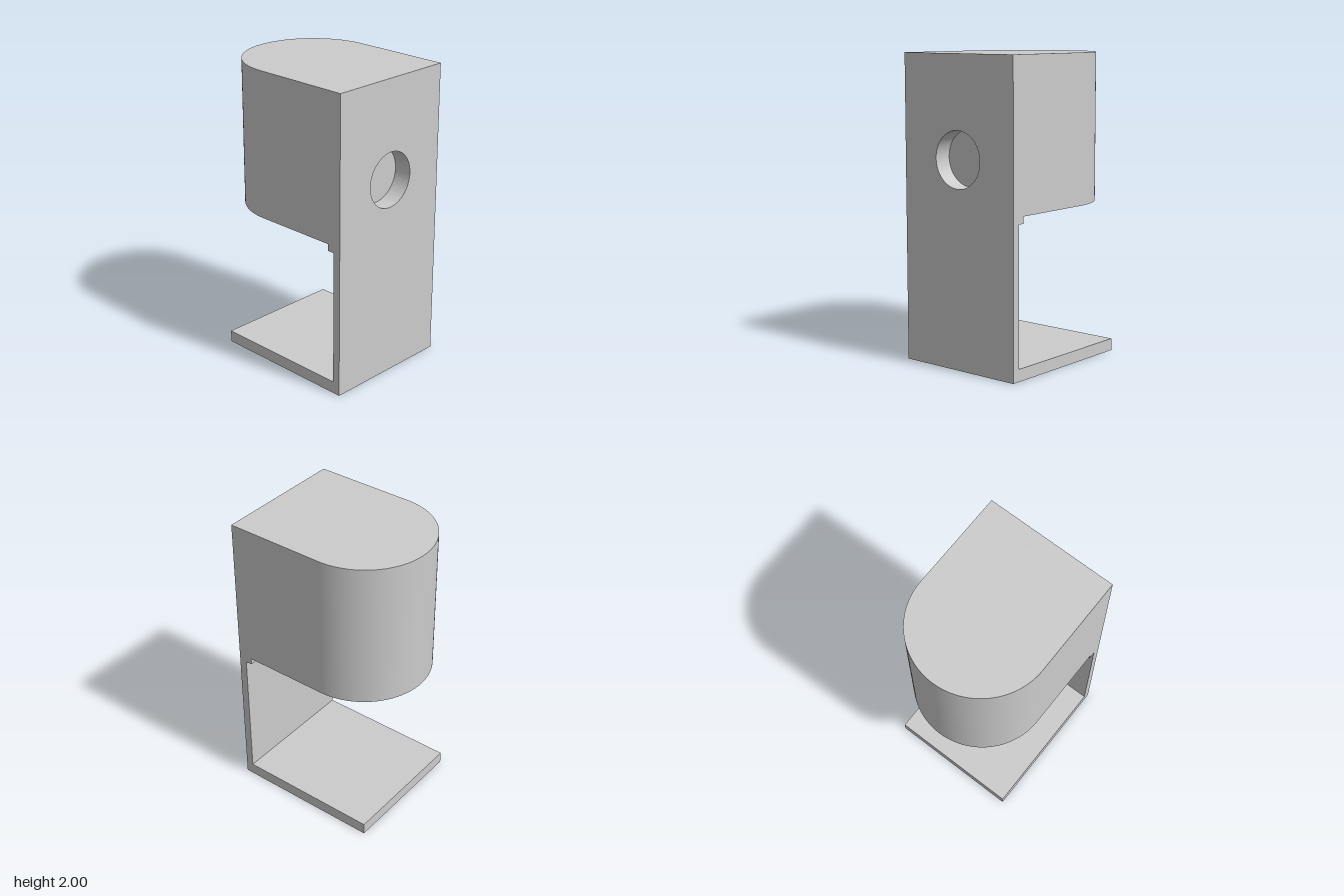
import * as THREE from 'three';
import { toCreasedNormals } from 'three/addons/utils/BufferGeometryUtils.js';

const W = 0.45;        // half depth in z, also the radius of the rounded head
const X = 0.5625;      // half width in x
const HEAD = 1.025;    // underside of the head
const TOP = 2;
const POCKET = 0.12;   // depth of the round pocket in the upright side
const R = 0.183;       // radius of the pocket and of the lens

const material = new THREE.MeshStandardMaterial({ color: 0xcccccc });

function addMesh(group, name, geometry) {
  const mesh = new THREE.Mesh(geometry, material);
  mesh.name = name;
  group.add(mesh);
  return mesh;
}

function extrude(shape, depth) {
  const geometry = new THREE.ExtrudeGeometry(shape, { depth, bevelEnabled: false, curveSegments: 48 });
  return toCreasedNormals(geometry, 0.5);
}

function polygon(points) {
  return new THREE.Shape(points.map(([x, y]) => new THREE.Vector2(x, y)));
}

function roundHole(x, y) {
  return new THREE.Path().absarc(x, y, R, 0, Math.PI * 2, true);
}

export function createModel() {
  const group = new THREE.Group();

  // Base plate, thin upright and the small lip under the head, in one profile
  const stand = polygon([
    [-0.465, 0], [X, 0], [X, HEAD], [0.465, HEAD], [0.465, 0.98],
    [0.51, 0.98], [0.51, 0.08], [-0.465, 0.08],
  ]);
  addMesh(group, 'stand', extrude(stand, 2 * W).translate(0, 0, -W));

  // Head with a half-round end and an opening for the lens below
  const xBack = X - POCKET;
  const outline = new THREE.Shape();
  outline.moveTo(xBack, -W);
  outline.lineTo(xBack, W);
  outline.lineTo(W - X, W);
  outline.absarc(W - X, 0, W, Math.PI / 2, Math.PI * 1.5, false);
  addMesh(group, 'head', extrude(outline, TOP - HEAD).rotateX(-Math.PI / 2).translate(0, HEAD, 0));

  // Flat panel closing the head, with the round pocket
  const panel = polygon([[-W, HEAD], [W, HEAD], [W, TOP], [-W, TOP]]);
  panel.holes.push(roundHole(0, 1.345));
  addMesh(group, 'pocketPanel', extrude(panel, POCKET).rotateY(Math.PI / 2).translate(xBack, 0, 0));

  // Lens set practically flush in the underside
  const lens = new THREE.CylinderGeometry(R, R, 0.05, 64);
  addMesh(group, 'lens', lens).position.set(-0.05, HEAD + 0.0245, 0);

  return group;
}
